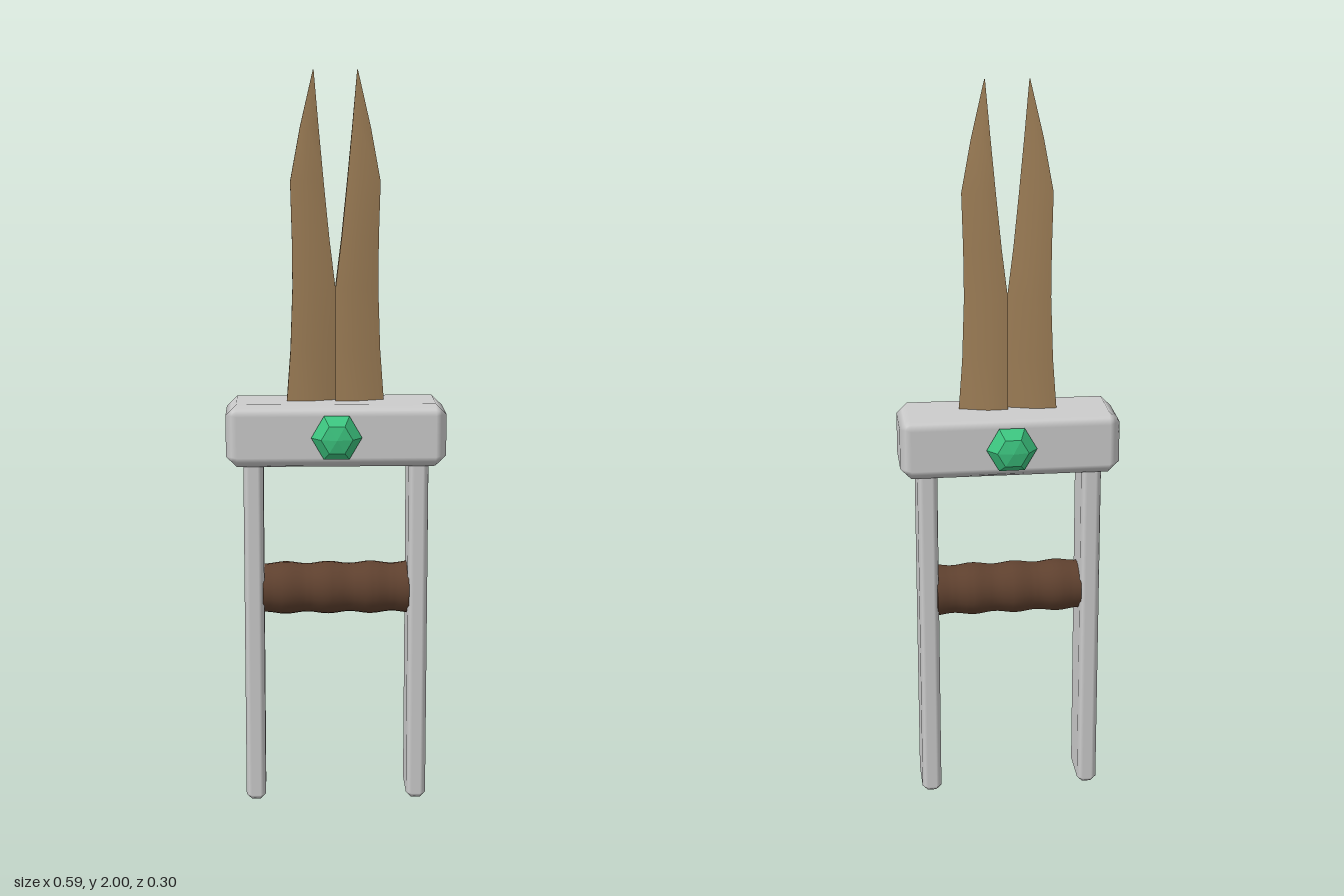
import * as THREE from 'three';
import { toCreasedNormals } from 'three/addons/utils/BufferGeometryUtils.js';
import { RoundedBoxGeometry } from 'three/addons/geometries/RoundedBoxGeometry.js';

const material = (color, extra = {}) => new THREE.MeshStandardMaterial({ color, ...extra });

// Box with single flat chamfers that keep soft, rounded normals
function chamferBox(w, h, d, r) {
  const geo = new RoundedBoxGeometry(w, h, d, 1, r);
  const pos = geo.attributes.position;
  const p = new THREE.Vector3(), n = new THREE.Vector3();
  for (let i = 0; i < pos.count; i++) {
    p.fromBufferAttribute(pos, i);
    n.fromBufferAttribute(geo.attributes.normal, i);
    const sum = Math.abs(n.x) + Math.abs(n.y) + Math.abs(n.z);
    p.addScaledVector(n, r * (1 / sum - 1));
    pos.setXYZ(i, p.x, p.y, p.z);
  }
  return geo;
}

// Blade outline: height, outer x, inner x, half thickness
const BLADE = [
  [1.10, 0.133, 0, 0.023],
  [1.26, 0.121, 0, 0.022],
  [1.43, 0.115, 0, 0.020],
  [1.56, 0.116, 0.016, 0.018],
  [1.71, 0.120, 0.031, 0.014],
  [1.85, 0.094, 0.044, 0.009],
  [2.00, 0.059, 0.057, 0.0005],
];

// Each section has a flat spine on -x and a ground edge on +x
function bladeGeometry(side) {
  const verts = [], index = [], n = 5;
  for (const [y, outer, inner, t] of BLADE) {
    const a = Math.min(side * outer, side * inner);
    const b = Math.max(side * outer, side * inner);
    const m = a + (b - a) * 0.42;
    for (const [x, z] of [[a, t * 0.92], [m, t], [b, 0], [m, -t], [a, -t * 0.92]]) verts.push(x, y, z);
  }
  for (let i = 0; i < BLADE.length - 1; i++) {
    for (let j = 0; j < n; j++) {
      const p = i * n + j, q = i * n + (j + 1) % n;
      index.push(p, q, p + n, q, q + n, p + n);
    }
  }
  // End caps
  const top = (BLADE.length - 1) * n;
  for (let j = 1; j < n - 1; j++) {
    index.push(0, j + 1, j, top, top + j, top + j + 1);
  }
  const geo = new THREE.BufferGeometry();
  geo.setAttribute('position', new THREE.Float32BufferAttribute(verts, 3));
  geo.setIndex(index);
  return toCreasedNormals(geo, Math.PI / 6);
}

export function createModel() {
  const group = new THREE.Group();
  const steel = material(0xcccccc);
  const wood = material(0x5f412f);
  const bronze = material(0xa08058);
  const green = material(0x3cc47f, { flatShading: true });

  function add(name, geo, mat, x = 0, y = 0, z = 0) {
    const mesh = new THREE.Mesh(geo, mat);
    mesh.name = name;
    mesh.position.set(x, y, z);
    group.add(mesh);
    return mesh;
  }

  // Crossguard
  add('guard', chamferBox(0.592, 0.17, 0.2, 0.029), steel, 0, 1.039, 0);

  // Hand grip with swelling ridges
  const profile = [new THREE.Vector2(0, -0.2)];
  for (let i = 0; i <= 40; i++) {
    const s = -0.2 + i * 0.01;
    profile.push(new THREE.Vector2(0.0695 + 0.003 * Math.cos((s - 0.02) * 54), s));
  }
  profile.push(new THREE.Vector2(0, 0.2));
  const grip = add('grip', toCreasedNormals(new THREE.LatheGeometry(profile, 24), Math.PI / 4), wood, 0, 0.597, 0);
  grip.rotation.z = Math.PI / 2;

  // Faceted gem, hexagonal with points to the sides
  const gemProfile = [[0.06, -0.005], [0.068, 0.01], [0.042, 0.043], [0, 0.051]].map(([r, h]) => new THREE.Vector2(r, h));
  const gemGeo = new THREE.LatheGeometry(gemProfile, 6, Math.PI / 2);

  for (const side of [1, -1]) {
    const label = side > 0 ? 'left' : 'right';
    add(label + 'Rail', chamferBox(0.054, 0.98, 0.142, 0.015), steel, side * 0.223, 0.49, 0);
    add(label + 'Blade', bladeGeometry(side), bronze);
    const gem = add(side > 0 ? 'frontGem' : 'backGem', gemGeo, green, 0, 1.04, side * 0.1);
    gem.rotation.x = side * Math.PI / 2;
  }
  return group;
}
